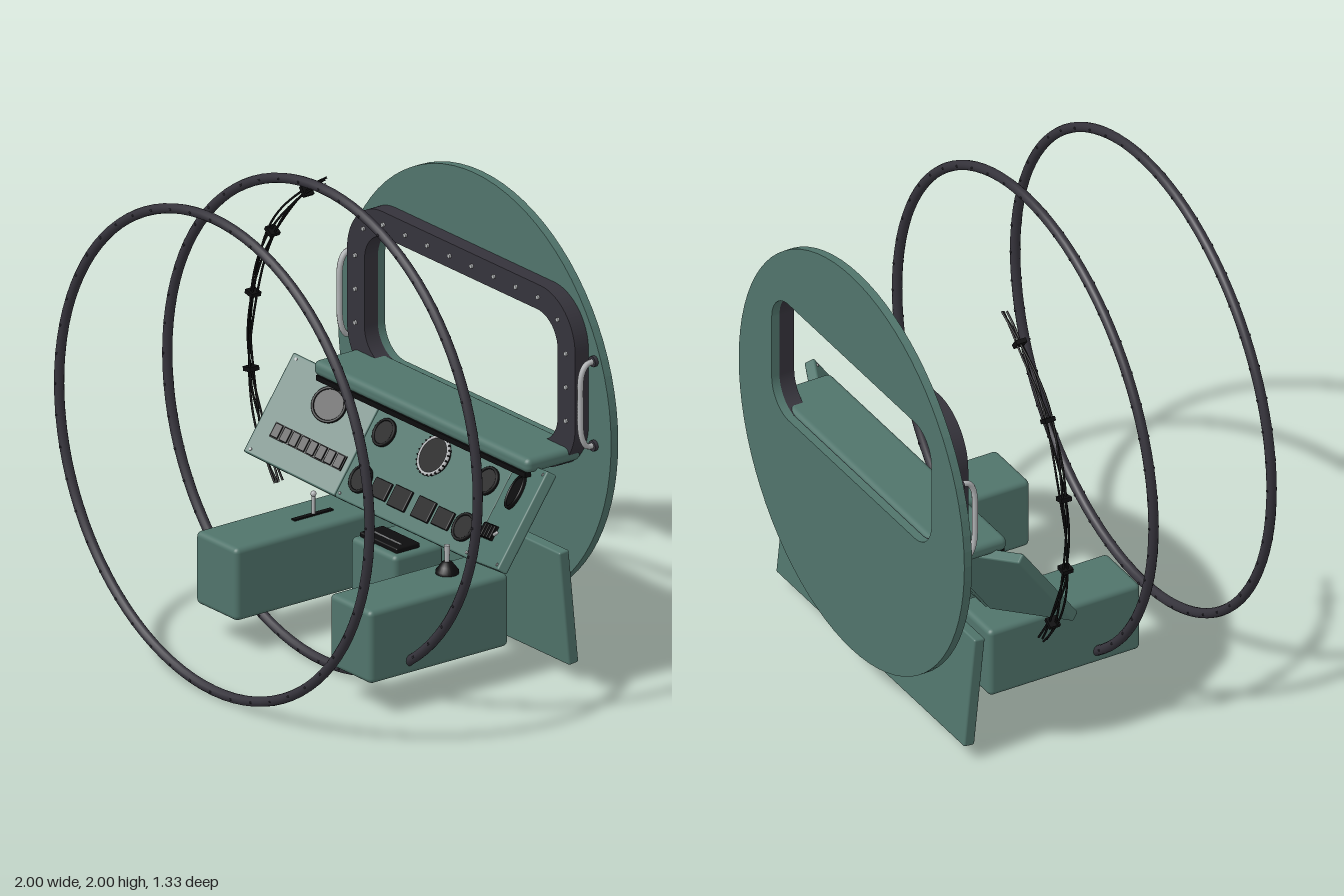
import * as THREE from 'three';
import { RoundedBoxGeometry } from 'three/addons/geometries/RoundedBoxGeometry.js';

const mat = (name, color) => Object.assign(new THREE.MeshStandardMaterial({ color }), { name });

export function createModel() {
  const green = mat('cabin green', 0x50746b);
  const dark = mat('dark frame', 0x35333b);
  const black = mat('instrument black', 0x0d0d0e);
  const grey = mat('light metal', 0xb4b6b8);
  const model = new THREE.Group();
  model.name = 'cockpit';

  const add = (parent, name, geo, material, x = 0, y = 0, z = 0) => {
    const m = new THREE.Mesh(geo, material);
    m.name = name;
    m.position.set(x, y, z);
    parent.add(m);
    return m;
  };
  const group = (parent, name, x = 0, y = 0, z = 0) => {
    const g = new THREE.Group();
    g.name = name;
    g.position.set(x, y, z);
    parent.add(g);
    return g;
  };
  const box = (w, h, d) => new THREE.BoxGeometry(w, h, d);
  const rbox = (w, h, d, r) => new RoundedBoxGeometry(w, h, d, 3, r);
  const disc = (r, h, n = 32) => new THREE.CylinderGeometry(r, r, h, n).rotateX(Math.PI / 2);
  const tube = (pts, r, n = 24) =>
    new THREE.TubeGeometry(new THREE.CatmullRomCurve3(pts), n, r, 8);

  // rounded rectangle centred on the window
  const WY = 1.197;
  const roundRect = (hw, hh, r, P = THREE.Shape) => {
    const p = new P();
    p.absarc(hw - r, WY + hh - r, r, 0, Math.PI / 2);
    p.absarc(-hw + r, WY + hh - r, r, Math.PI / 2, Math.PI);
    p.absarc(-hw + r, WY - hh + r, r, Math.PI, Math.PI * 1.5);
    p.absarc(hw - r, WY - hh + r, r, Math.PI * 1.5, Math.PI * 2);
    p.closePath();
    return p;
  };
  const opening = () => roundRect(0.61, 0.268, 0.13, THREE.Path);

  // front bulkhead with window opening
  const plate = new THREE.Shape();
  plate.absarc(0, 1.005, 0.862, 0, Math.PI * 2);
  plate.holes.push(opening());
  add(model, 'bulkhead', new THREE.ExtrudeGeometry(plate, { depth: 0.035, bevelEnabled: false, curveSegments: 40 }), green, 0, 0, -0.665);

  // window frame and its bolts
  const frame = roundRect(0.72, 0.372, 0.22);
  frame.holes.push(opening());
  add(model, 'windowFrame', new THREE.ExtrudeGeometry(frame, { depth: 0.066, bevelEnabled: false, curveSegments: 14 }), dark, 0, 0, -0.63);
  for (const p of roundRect(0.665, 0.32, 0.18).getSpacedPoints(26).slice(0, 26))
    add(model, 'frameBolt', disc(0.009, 0.01, 8), grey, p.x, p.y, -0.561);

  // hull rings with rivets
  for (const z of [0.115, 0.645]) {
    const ring = group(model, 'hullRing', 0, 1, z);
    add(ring, 'ringTube', new THREE.TorusGeometry(0.98, 0.02, 12, 96), dark);
    for (let i = 0; i < 48; i++) {
      const a = (i / 48) * Math.PI * 2;
      const rivet = add(ring, 'ringRivet', box(0.008, 0.008, 0.046), dark, 0.98 * Math.cos(a), 0.98 * Math.sin(a), 0);
      rivet.rotation.z = a;
    }
  }

  // grab handles beside the window
  for (const s of [-1, 1]) {
    const h = group(model, 'grabHandle', s * 0.76, 0, 0);
    const pts = [[0.97, -0.63], [0.975, -0.59], [1.02, -0.565], [1.15, -0.558], [1.28, -0.565], [1.315, -0.59], [1.32, -0.63]];
    add(h, 'handleBar', tube(pts.map(([y, z]) => new THREE.Vector3(0, y, z)), 0.012, 32), grey);
    for (const y of [0.97, 1.32]) add(h, 'handleMount', disc(0.022, 0.016, 16), dark, 0, y, -0.623);
  }

  // shelf above the instruments
  add(model, 'glareShield', rbox(1.36, 0.062, 0.268, 0.025), green, 0, 0.914, -0.496);
  add(model, 'glareShieldLip', box(1.32, 0.022, 0.03), black, 0, 0.876, -0.38);

  // tilted instrument panel; local z points out of its face
  const panel = group(model, 'instrumentPanel', 0, 0.48, -0.27);
  panel.rotation.x = -0.611;
  const H = 0.43, T = 0.045;
  add(panel, 'centrePanel', rbox(0.85, H, T, 0.008), green, 0, H / 2, -T / 2);
  const gauge = (parent, x, y, r) => {
    add(parent, 'gauge', disc(r, 0.012), black, x, y, 0.004);
    add(parent, 'gaugeRim', new THREE.TorusGeometry(r - 0.005, 0.006, 8, 32), black, x, y, 0.01);
  };
  const screw = (parent, x, y) => add(parent, 'panelScrew', disc(0.006, 0.006, 8), grey, x, y, 0.002);
  for (const s of [-1, 1]) {
    gauge(panel, s * 0.325, 0.104, 0.058);
    gauge(panel, s * 0.325, 0.305, 0.058);
    add(panel, 'innerDisplay', rbox(0.105, 0.088, 0.016, 0.005), black, s * 0.074, 0.1, 0.004);
    add(panel, 'outerDisplay', rbox(0.1, 0.076, 0.016, 0.005), black, s * 0.197, 0.1, 0.004);
    for (const y of [0.02, H - 0.02]) screw(panel, s * 0.4, y);
  }
  // central compass with knurled bezel
  add(panel, 'compassFace', disc(0.074, 0.03), black, 0, 0.305, 0.008);
  add(panel, 'compassBezel', new THREE.TorusGeometry(0.077, 0.008, 8, 40), grey, 0, 0.305, 0.018);
  for (let i = 0; i < 24; i++) {
    const a = (i / 24) * Math.PI * 2;
    add(panel, 'bezelNotch', box(0.006, 0.006, 0.012), black, 0.083 * Math.cos(a), 0.083 * Math.sin(a) + 0.305, 0.021).rotation.z = a;
  }

  // side wings with switch rows
  for (const s of [-1, 1]) {
    const wing = group(panel, 'sidePanel', s * 0.42, 0, 0);
    wing.rotation.y = -s * 0.455;
    add(wing, 'wingPanel', rbox(0.425, H, T, 0.008), green, s * 0.212, H / 2, -T / 2);
    gauge(wing, s * 0.19, 0.308, 0.072);
    const n = s < 0 ? 8 : 4;
    const len = n * 0.041;
    const u0 = 0.025;
    add(wing, 'switchStrip', box(len, 0.062, 0.012), black, s * (u0 + len / 2), 0.128, 0.004);
    for (let i = 0; i < n; i++)
      add(wing, 'switch', rbox(0.034, 0.056, 0.014, 0.004), black, s * (u0 + 0.041 * (i + 0.5)), 0.128, 0.01);
    for (const y of [0.02, H - 0.02]) screw(wing, s * 0.4, y);
  }
  const right = panel.children.filter((c) => c.name === 'sidePanel')[1];
  const toggle = add(right, 'toggleLever', new THREE.CapsuleGeometry(0.007, 0.022, 4, 8), grey, 0.235, 0.128, 0.015);
  toggle.rotation.z = -1.1;

  // sloping plate under the panel
  add(model, 'kickPlate', rbox(1.44, 0.48, 0.048, 0.008), green, 0, 0.305, -0.535).rotation.x = 0.1;

  // consoles
  for (const s of [-1, 1])
    add(model, 'sideConsole', rbox(0.262, 0.302, 0.68, 0.022), green, s * 0.423, 0.284, -0.03);
  add(model, 'centreConsole', rbox(0.285, 0.338, 0.24, 0.022), green, 0, 0.264, -0.25);
  add(model, 'consoleScreen', rbox(0.235, 0.022, 0.115, 0.006), black, 0, 0.442, -0.215);
  add(model, 'screenLine', box(0.18, 0.004, 0.008), grey, 0, 0.454, -0.2);

  // lever in its slot
  add(model, 'leverSlot', box(0.022, 0.008, 0.19), black, -0.405, 0.437, -0.15);
  add(model, 'lever', new THREE.CylinderGeometry(0.007, 0.007, 0.085, 10), grey, -0.405, 0.48, -0.155);
  add(model, 'leverKnob', new THREE.SphereGeometry(0.012, 12, 8), grey, -0.405, 0.523, -0.155);

  // control stick
  const boot = [[0.001, 0.05], [0.02, 0.046], [0.032, 0.03], [0.046, 0.012], [0.046, 0]].reverse();
  add(model, 'stickBoot', new THREE.LatheGeometry(boot.map(([r, y]) => new THREE.Vector2(r, y)), 24), black, 0.4, 0.435, -0.185);
  add(model, 'controlStick', new THREE.CylinderGeometry(0.012, 0.009, 0.08, 12), grey, 0.4, 0.51, -0.185);

  // cable bundle curving along the hull
  const cables = group(model, 'cableBundle', 0, 1, -0.23);
  const A0 = THREE.MathUtils.degToRad(118), A1 = THREE.MathUtils.degToRad(217);
  for (let k = 0; k < 4; k++) {
    const pts = [];
    for (let i = 0; i <= 24; i++) {
      const a = A0 + ((A1 - A0) * i) / 24;
      const r = 0.892 + 0.008 * k + 0.003 * Math.sin(i * 0.8 + k);
      pts.push(new THREE.Vector3(r * Math.cos(a), r * Math.sin(a), 0.014 * Math.sin(i * 0.45 + k * 1.7)));
    }
    add(cables, 'cable', tube(pts, 0.0045, 72), black);
  }
  for (let i = 0; i < 5; i++) {
    const a = THREE.MathUtils.degToRad(127 + 20.3 * i);
    add(cables, 'cableClamp', box(0.045, 0.018, 0.046), black, 0.904 * Math.cos(a), 0.904 * Math.sin(a), 0).rotation.z = a;
  }
  return model;
}
